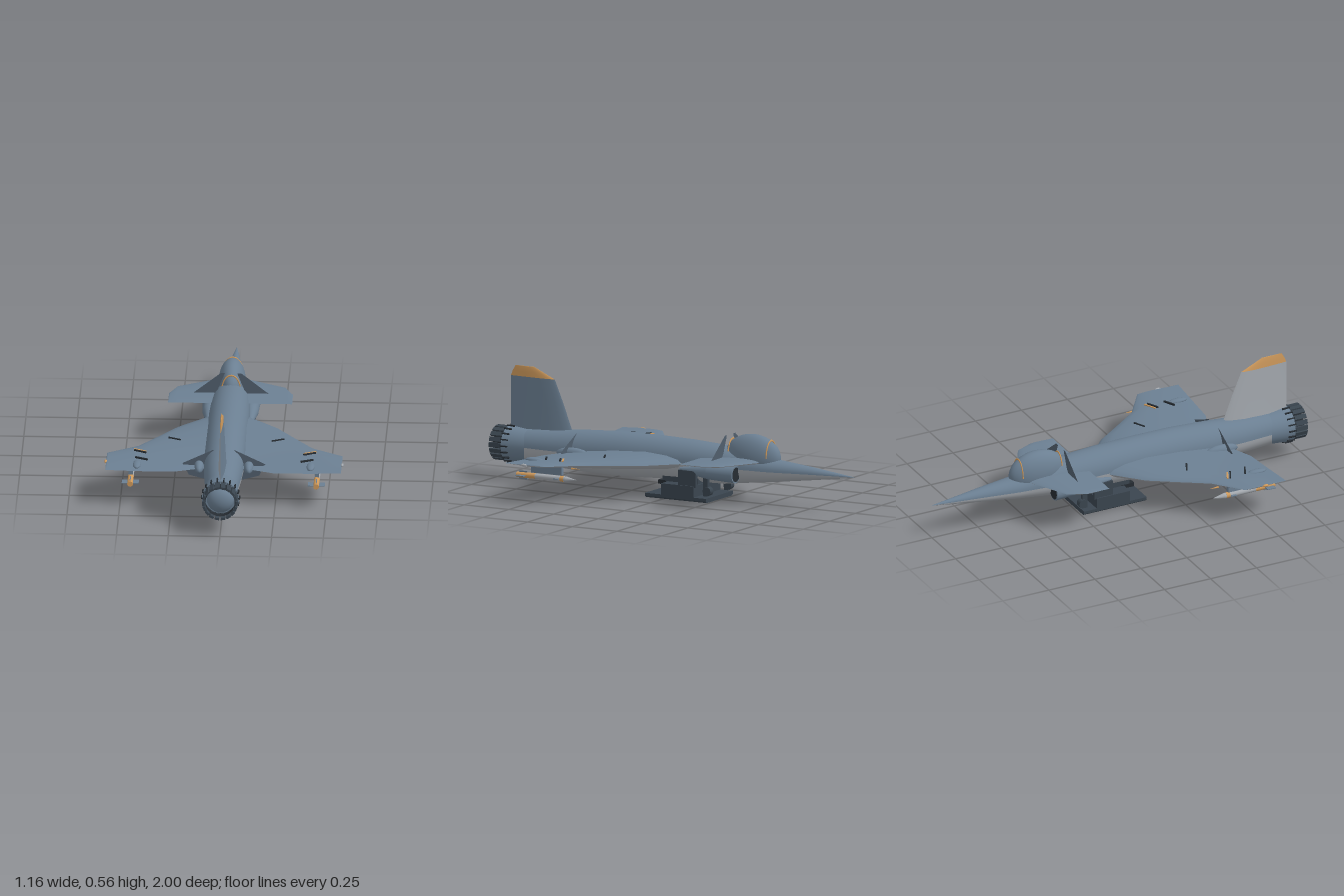
import * as THREE from 'three';

const paint = (name, color, side = THREE.FrontSide) => {
  const m = new THREE.MeshStandardMaterial({ color, side });
  m.name = name;
  return m;
};

export function createModel() {
  const top = paint('blue grey', 0x6b7f92, THREE.DoubleSide);
  const belly = paint('light grey', 0xa4a9af, THREE.DoubleSide);
  const shade = paint('slate', 0x505e6c, THREE.DoubleSide);
  const dark = paint('dark slate', 0x3a454f);
  const black = paint('near black', 0x262c32, THREE.DoubleSide);
  const orange = paint('ochre', 0xcf9a5c, THREE.DoubleSide);

  const model = new THREE.Group();
  const add = (name, geo, mat, x = 0, y = 0, z = 0, parent = model) => {
    const m = new THREE.Mesh(geo, mat);
    m.name = name;
    m.position.set(x, y, z);
    parent.add(m);
    return m;
  };
  const box = (w, h, d) => new THREE.BoxGeometry(w, h, d);
  // cylinder along z: front radius at -z, rear radius at +z
  const tube = (front, rear, len, n = 16, open = false) =>
    new THREE.CylinderGeometry(rear, front, len, n, 1, open).rotateX(Math.PI / 2);

  // smooth surface through rows of points
  const surface = (rows, flip) => {
    const n = rows[0].length, index = [];
    for (let i = 0; i < rows.length - 1; i++)
      for (let j = 0; j < n - 1; j++) {
        const a = i * n + j, b = a + n, c = a + 1, d = b + 1;
        index.push(...(flip ? [a, c, b, b, c, d] : [a, b, c, c, b, d]));
      }
    const g = new THREE.BufferGeometry();
    g.setAttribute('position', new THREE.Float32BufferAttribute(rows.flat(2), 3));
    g.setIndex(index);
    g.computeVertexNormals();
    return g;
  };

  // fuselage: z, centre y, half width, half height
  const rings = [
    [-1, .175, .001, .001], [-.75, .173, .036, .033], [-.55, .17, .063, .056], [-.42, .171, .077, .072],
    [-.28, .175, .094, .094], [-.1, .179, .099, .101], [.1, .18, .1, .105], [.3, .176, .1, .109],
    [.5, .172, .098, .102], [.65, .17, .091, .092], [.82, .17, .078, .082]];
  const half = (start) => surface(rings.map(([z, y, rx, ry]) =>
    Array.from({ length: 17 }, (_, i) => {
      const a = start + (i / 16) * Math.PI;
      return [rx * Math.cos(a), y + ry * Math.sin(a), z];
    })), true);
  add('fuselageTop', half(0), top);
  add('fuselageBelly', half(Math.PI), belly);

  // canopy with its two hoops
  const canopy = new THREE.SphereGeometry(1, 28, 16, 0, Math.PI * 2, 0, Math.PI * .6);
  canopy.scale(.066, .108, .15);
  add('canopy', canopy, top, 0, .23, -.43);
  for (const [z, rx, ry] of [[-.53, .05, .082], [-.315, .045, .075]]) {
    const hoop = new THREE.TorusGeometry(1, .06, 6, 24, Math.PI);
    hoop.scale(rx, ry, .05);
    add('canopyHoop', hoop, orange, 0, .232, z);
  }

  // lifting surfaces: x, leading z, trailing z, centre y, thickness
  const foil = [[0, 0], [.04, .45], [.14, .8], [.32, 1], [.6, .75], [.85, .3], [1, 0]];
  const panel = (name, stations, s, parent) => {
    for (const up of [1, -1]) {
      const rows = stations.map(([x, z0, z1, y, t]) =>
        foil.map(([u, h]) => [s * x, y + up * h * t / 2, z0 + (z1 - z0) * u]));
      add(name + (up > 0 ? 'Top' : 'Underside'), surface(rows, s * up > 0), up > 0 ? top : belly, 0, 0, 0, parent);
    }
  };
  const wing = [[.04, -.13, .55, .175, .09], [.11, -.08, .56, .175, .08], [.24, .04, .61, .176, .058],
    [.33, .17, .616, .178, .045], [.42, .3, .622, .181, .032], [.565, .405, .63, .188, .012], [.57, .41, .63, .188, 0]];
  const canard = [[.07, -.505, -.19, .213, .028], [.09, -.49, -.19, .213, .027], [.26, -.4, -.19, .213, .016],
    [.295, -.32, -.19, .213, .009], [.3, -.31, -.19, .213, 0]];
  const plate = (pts) => new THREE.ShapeGeometry(new THREE.Shape(pts.map(p => new THREE.Vector2(...p))));

  for (const s of [1, -1]) {
    const side = new THREE.Group();
    side.name = s > 0 ? 'leftSide' : 'rightSide';
    model.add(side);
    const put = (name, geo, mat, x, y, z) => add(name, geo, mat, s * x, y, z, side);
    panel('wing', wing, s, side);
    panel('canard', canard, s, side);

    // upright gussets behind the canopy and at the wing root
    put('canardGusset', plate([[s * .03, .325], [s * .05, .325], [s * .19, .215], [s * .08, .2]]), shade, 0, 0, -.3);
    put('wingGusset', plate([[s * .05, .262], [s * .2, .19], [s * .17, .13], [s * .06, .1]]), shade, 0, 0, .53);

    // air intake under the canard
    put('intake', tube(.042, .036, .15, 20), top, .1, .15, -.315);
    put('intakeMouth', new THREE.CircleGeometry(.036, 20).rotateY(Math.PI), black, .1, .15, -.3915);
    put('intakeFairing', tube(.036, .01, .16, 20), top, .1, .15, -.16);
    put('intakeStrut', box(.018, .08, .1), dark, .115, .11, -.13);

    // wing slots and actuator fairings
    for (const [x, y, z, mat] of [[.25, .204, .255, black], [.41, .197, .395, orange], [.41, .199, .41, black], [.4, .197, .495, black]])
      put('wingSlot', box(.065, .008, .008), mat, x, y, z).rotation.y = s * .45;
    const blister = new THREE.SphereGeometry(1, 14, 8).scale(.02, .012, .05);
    put('wingBlister', blister, top, .42, .188, .55);
    put('rootBlister', new THREE.SphereGeometry(1, 14, 8).scale(.025, .03, .09), top, .12, .175, .51);
    put('tipLight', new THREE.SphereGeometry(1, 10, 8).scale(.007, .007, .016), s > 0 ? belly : orange, .572, .188, .52);

    // pylon and missile
    put('pylon', box(.02, .045, .17), top, .45, .155, .46);
    put('missileBody', tube(.014, .014, .17, 12), belly, .45, .115, .44);
    put('missileBand', tube(.0145, .0145, .02, 12), orange, .45, .115, .375);
    put('missileNose', tube(0, .014, .06, 12), belly, .45, .115, .325);
    put('missileTail', tube(.014, .014, .105, 12), orange, .45, .115, .575);
    for (const [z, w, d] of [[.4, .05, .025], [.595, .082, .045]]) {
      put('missileFin', box(w, .004, d), top, .45, .115, z);
      put('missileFin', box(.004, w * .5, d), top, .45, .115, z);
    }
    put('leadingProbe', tube(0, .005, .05, 8), orange, .45, .17, .3);
  }

  // tail fin: y, leading z, trailing z, half thickness
  const finPart = (name, levels, matLeft, matRight) => {
    for (const s of [1, -1]) {
      const rows = levels.map(([y, z0, z1, t]) =>
        foil.map(([u, h]) => [s * h * t, y, z0 + (z1 - z0) * u]));
      add(name, surface(rows, s < 0), s > 0 ? matLeft : matRight);
    }
  };
  finPart('tailFin', [[.23, .57, .925, .021], [.27, .585, .925, .018], [.4, .635, .925, .012], [.505, .68, .925, .008]], top, belly);
  finPart('tailFinTip', [[.505, .68, .925, .008], [.53, .735, .915, .006], [.555, .79, .9, .003], [.557, .79, .9, 0]], orange, orange);

  // engine nozzle: collar, overlapping petals and exhaust dome
  add('nozzleCollar', tube(.079, .09, .125, 32), top, 0, .17, .868);
  add('nozzleSleeve', tube(.076, .071, .055, 32, true), black, 0, .17, .957);
  add('exhaustDome', new THREE.SphereGeometry(1, 24, 12).scale(.066, .066, .045), top, 0, .17, .94);
  for (let i = 0; i < 18; i++) {
    const a = (i / 18) * Math.PI * 2;
    const petal = add('nozzlePetal', box(.011, .022, .09), dark, Math.cos(a) * .08, .17 + Math.sin(a) * .08, .955);
    petal.rotation.z = a;
    const clip = add('nozzleClip', box(.012, .006, .04), black, Math.cos(a) * .089, .17 + Math.sin(a) * .089, .915);
    clip.rotation.z = a;
  }

  // belly pack: skid plate, box, mounts and forward rollers
  const slab = new THREE.Shape();
  slab.moveTo(-.13, .008).lineTo(-.12, 0).lineTo(.12, 0).lineTo(.13, .008).lineTo(.13, .022).lineTo(-.13, .022);
  add('skidPlate', new THREE.ExtrudeGeometry(slab, { depth: .34, bevelEnabled: false }), dark, 0, 0, -.24);
  add('bellyBox', box(.26, .055, .18), dark, 0, .049, -.08);
  add('bellyMount', box(.13, .04, .2), dark, 0, .085, -.06);
  add('rearMount', box(.13, .02, .07), black, 0, .07, .03);
  for (const s of [1, -1]) {
    add('bellyRoller', new THREE.CylinderGeometry(.022, .022, .03, 16).rotateZ(Math.PI / 2), dark, s * .1, .055, -.235);
    add('rollerStrut', box(.02, .09, .025), dark, s * .1, .075, -.225);
  }
  return model;
}
